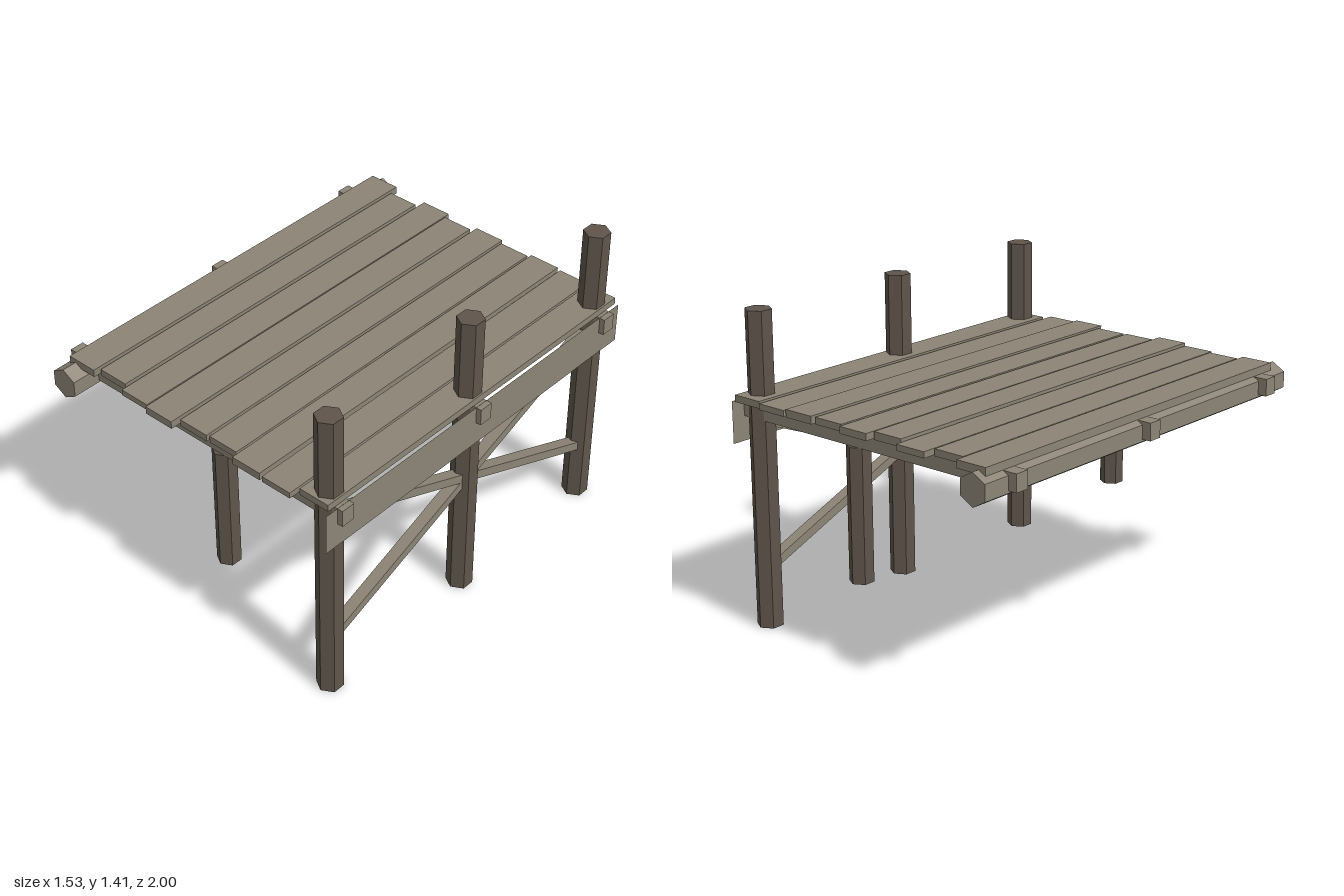
import * as THREE from 'three';

const wood = new THREE.MeshStandardMaterial({ color: 0x8c8476, flatShading: true });
const darkWood = new THREE.MeshStandardMaterial({ color: 0x5f554c, flatShading: true });
const boardWood = new THREE.MeshStandardMaterial({ color: 0x8c8476, flatShading: true, side: THREE.DoubleSide });

export function createModel() {
  const model = new THREE.Group();

  function add(name, geometry, material, x, y, z) {
    const mesh = new THREE.Mesh(geometry, material);
    mesh.name = name;
    mesh.position.set(x, y, z);
    model.add(mesh);
    return mesh;
  }
  const hexPost = (r, h) => new THREE.CylinderGeometry(r, r, h, 6);

  const rowZ = 0.833;
  const pileX = 0.665;

  // Tall piles and the joists running inland from them
  for (const z of [-rowZ, 0, rowZ]) {
    add('pile', hexPost(0.059, 1.412), darkWood, pileX, 0.706, z);
    add('joist', new THREE.BoxGeometry(1.535, 0.077, 0.066), wood, -0.0025, 0.978, z);
  }

  // Short posts under the outer joists only
  for (const z of [-rowZ, rowZ]) {
    add('shortPost', hexPost(0.053, 0.59), darkWood, 0.097, 0.645, z);
  }

  // Hexagonal log under the inland end, with a corner pointing up
  const log = add('log', hexPost(0.0715, 2), wood, -0.667, 0.965, 0);
  log.rotation.x = -Math.PI / 2;

  // Crossed braces between the outer piles
  const rise = 0.33;
  for (const side of [-1, 1]) {
    const length = 2 * Math.hypot(0.8, rise * 0.8 / rowZ);
    const brace = add('crossBrace', new THREE.BoxGeometry(0.054, 0.04, length), wood, pileX, 0.602, 0);
    brace.rotation.x = side * Math.atan2(rise, rowZ);
  }

  // Thin board across the outer face, pierced by the joist ends
  const board = add('edgeBoard', new THREE.PlaneGeometry(1.865, 0.188), boardWood, 0.74, 0.924, 0);
  board.rotation.y = Math.PI / 2;

  // Deck planks: back end z, front end z, top height
  const planks = [
    [-0.965, 0.93, 1.052], [-0.913, 0.903, 1.048], [-0.96, 0.935, 1.044],
    [-0.918, 0.953, 1.052], [-0.95, 0.915, 1.048], [-0.928, 0.91, 1.048],
    [-0.94, 0.945, 1.052], [-0.94, 0.945, 1.044], [-0.928, 0.903, 1.048],
  ];
  planks.forEach(([back, front, top], i) => {
    const bottom = 1.017;
    add('plank', new THREE.BoxGeometry(0.147, top - bottom, front - back), wood,
      -0.629 + i * 0.16, (top + bottom) / 2, (back + front) / 2);
  });

  return model;
}
